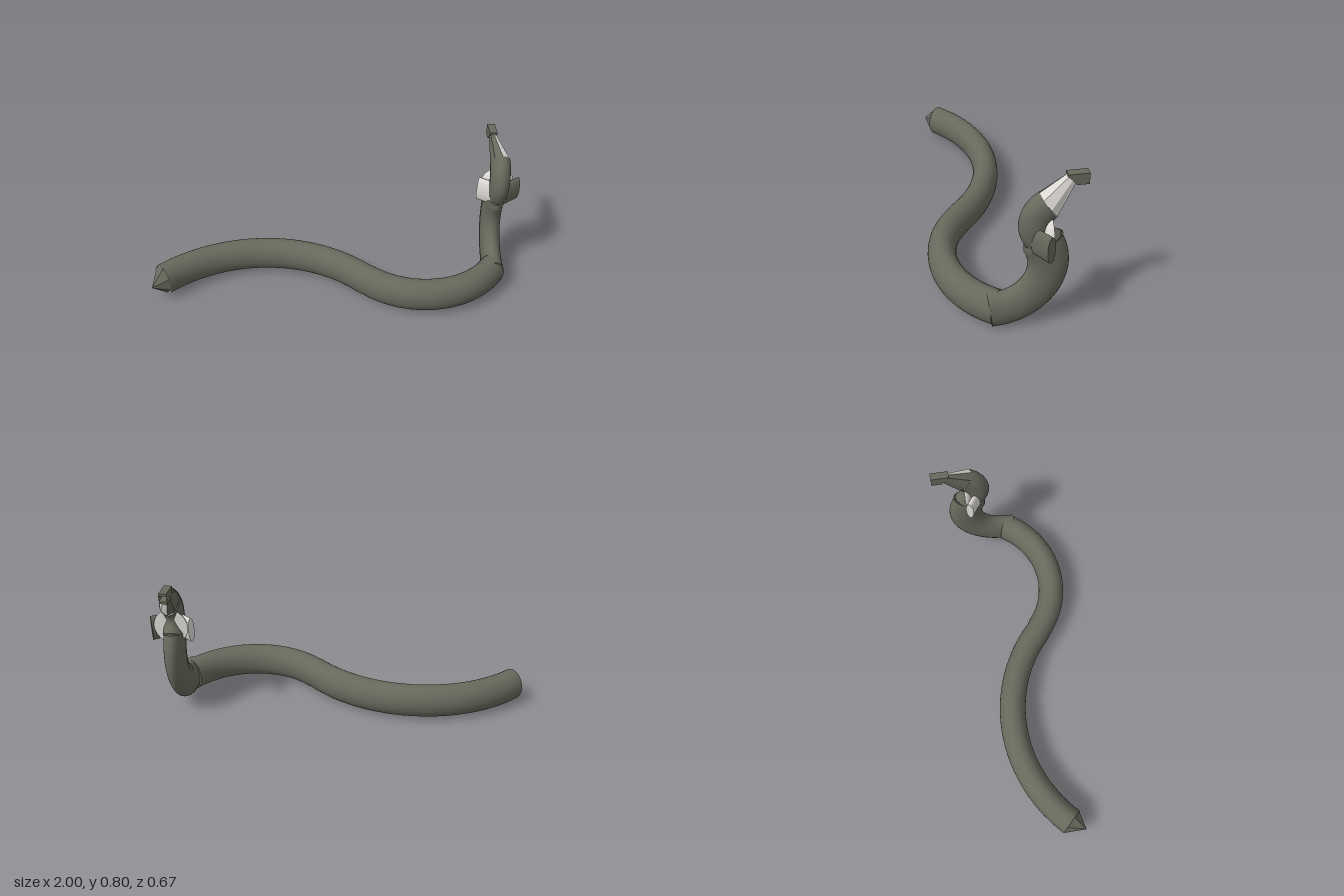
import * as THREE from 'three';

const dark = new THREE.MeshStandardMaterial({ color: 0x666a5c, side: THREE.DoubleSide });
dark.name = 'olive grey';
const light = new THREE.MeshStandardMaterial({ color: 0xdedbd7, side: THREE.DoubleSide });
light.name = 'pale grey';
const V = (x, y, z) => new THREE.Vector3(x, y, z);
const UP = V(0, 1, 0);

function add(group, name, geometry, material) {
  const mesh = new THREE.Mesh(geometry, material);
  mesh.name = name;
  group.add(mesh);
  return mesh;
}

// Skin over elliptical rings; each station has a centre c and half axes u, v
function loft(stations, sides = 32, flat = false) {
  const pos = [], index = [];
  stations.forEach(({ c, u, v }, r) => {
    for (let i = 0; i < sides; i++) {
      const a = (i / sides) * Math.PI * 2;
      pos.push(...c.clone().addScaledVector(u, Math.cos(a)).addScaledVector(v, Math.sin(a)).toArray());
      if (r === stations.length - 1) continue;
      const p = r * sides + i, q = r * sides + (i + 1) % sides;
      index.push(p, q, p + sides, q, q + sides, p + sides);
    }
  });
  let g = new THREE.BufferGeometry();
  g.setAttribute('position', new THREE.Float32BufferAttribute(pos, 3));
  g.setIndex(index);
  if (flat) g = g.toNonIndexed();
  g.computeVertexNormals();
  return g;
}
const scaled = (s, k) => ({ c: s.c, u: s.u.clone().multiplyScalar(k), v: s.v.clone().multiplyScalar(k) });
const cap = (s, back) => loft(back ? [scaled(s, 0.001), s] : [s, scaled(s, 0.001)]);

// Ring in the upright plane, from its outer and inner edge points given as [z, y]
function uprightRing(x, halfX, o, i) {
  return {
    c: V(x, (o[1] + i[1]) / 2, (o[0] + i[0]) / 2),
    u: V(halfX, 0, 0),
    v: V(0, (i[1] - o[1]) / 2, (i[0] - o[0]) / 2),
  };
}
const onArc = (cz, cy, r, a) => [cz + r * Math.cos(a), cy + r * Math.sin(a)];

export function createModel() {
  const model = new THREE.Group();
  model.name = 'serpent';

  // Body: two tangent arcs lying flat
  const body = [];
  const bodyRing = (cx, cz, r, a, turn) => {
    const d = V(Math.cos(a), 0, turn * Math.sin(a));
    body.push({
      c: V(cx + r * Math.sin(a), 0.102, cz - turn * r * Math.cos(a)),
      u: UP.clone().cross(d).multiplyScalar(0.0725),
      v: V(0, 0.092, 0),
    });
  };
  for (let i = 0; i <= 28; i++) bodyRing(-0.4, 0.697, 0.79, -0.77 + i / 28 * 1.548, 1);
  for (let i = 1; i <= 28; i++) bodyRing(0.48, -0.198, 0.46, -0.778 + i / 28 * 1.766, -1);
  add(model, 'body', loft(body), dark);
  add(model, 'bodyFrontCap', cap(body[body.length - 1]), dark);

  // Tail: pale end disc and a faceted point
  const end = body[0];
  add(model, 'tailDisc', cap(end, true), light);
  const tip = scaled(end, 0.001);
  tip.c = V(-1, 0.102, 0.2);
  add(model, 'tailTip', loft([tip, scaled(end, 0.97)], 7, true), dark);

  // Neck: sweeps back, then up
  const neck = [uprightRing(0.87, 0.055, [0.08, 0], [0.105, 0.19])];
  for (let i = 0; i <= 24; i++) {
    const a = -Math.PI / 2 - i / 24 * 2.1;
    neck.push(uprightRing(0.87, 0.055, onArc(0.072, 0.345, 0.342, a), onArc(0.072, 0.345, 0.152, a)));
  }
  neck.push(uprightRing(0.87, 0.055, [-0.235, 0.51], [-0.06, 0.455]));
  add(model, 'neck', loft(neck), dark);
  add(model, 'neckBaseCap', cap(neck[0], true), dark);
  add(model, 'neckTopCap', cap(neck[neck.length - 1]), dark);

  // Head: curls back the other way, so the outer edge is on the front
  const head = [uprightRing(0.87, 0.055, [-0.065, 0.455], [-0.23, 0.51])];
  for (let i = 0; i <= 20; i++) {
    const a = -0.75 + i / 20 * 1.75;
    head.push(uprightRing(0.877, 0.053, onArc(-0.223, 0.57, 0.193, a), onArc(-0.223, 0.57, 0.044, a)));
  }
  // the inner edge points toward the back, which keeps the skin facing out
  add(model, 'head', loft(head), dark);

  // Snout: tapering facets, pale on the +x side
  const root = uprightRing(0.877, 0.053, [-0.115, 0.732], [-0.205, 0.61]);
  const nose = uprightRing(0.842, 0.02, [-0.243, 0.795], [-0.287, 0.745]);
  const snout = loft([root, nose], 8, true);
  for (let f = 0; f < 8; f++) snout.addGroup(f * 6, 6, f < 2 || f > 5 ? 1 : 0);
  add(model, 'snout', snout, [dark, light]);
  add(model, 'noseCap', cap(nose), dark);

  // Open jaws: notched profile drawn in z and y, given thickness across x
  const jaw = new THREE.Shape([
    [0.243, 0.8], [0.34, 0.8], [0.34, 0.787], [0.265, 0.766],
    [0.34, 0.757], [0.34, 0.745], [0.285, 0.745], [0.243, 0.79],
  ].map(([z, y]) => new THREE.Vector2(z, y)));
  const jaws = new THREE.ExtrudeGeometry(jaw, { depth: 0.04, bevelEnabled: false });
  jaws.rotateY(Math.PI / 2);
  jaws.translate(0.822, 0, 0);
  add(model, 'jaws', jaws, dark);

  // Ears: short flattened tubes slanting out and back
  for (const s of [1, -1]) {
    const ring = (dx, z) => ({
      c: V(0.882 + s * dx, 0.506, z),
      u: V(s * 0.01, 0, 0.02),
      v: V(0, s * -0.07, 0),
    });
    const ear = [ring(0.03, -0.1), ring(0.107, -0.155)];
    const g = new THREE.Group();
    g.name = s > 0 ? 'leftEar' : 'rightEar';
    const m = s > 0 ? dark : light;
    add(g, 'earSide', loft(ear, 24), m);
    add(g, 'earEnd', cap(ear[1]), m);
    model.add(g);
  }

  // Pale frill behind the ears
  const dome = new THREE.SphereGeometry(1, 24, 8, 0, Math.PI * 2, 0, Math.PI / 2);
  dome.rotateX(Math.PI / 2);
  dome.scale(0.09, 0.098, 0.045);
  dome.translate(0.878, 0.53, -0.172);
  add(model, 'frill', dome, light);
  const back = new THREE.CircleGeometry(1, 24);
  back.rotateY(Math.PI);
  back.scale(0.09, 0.098, 1);
  back.translate(0.878, 0.53, -0.172);
  add(model, 'frillBack', back, light);

  return model;
}
